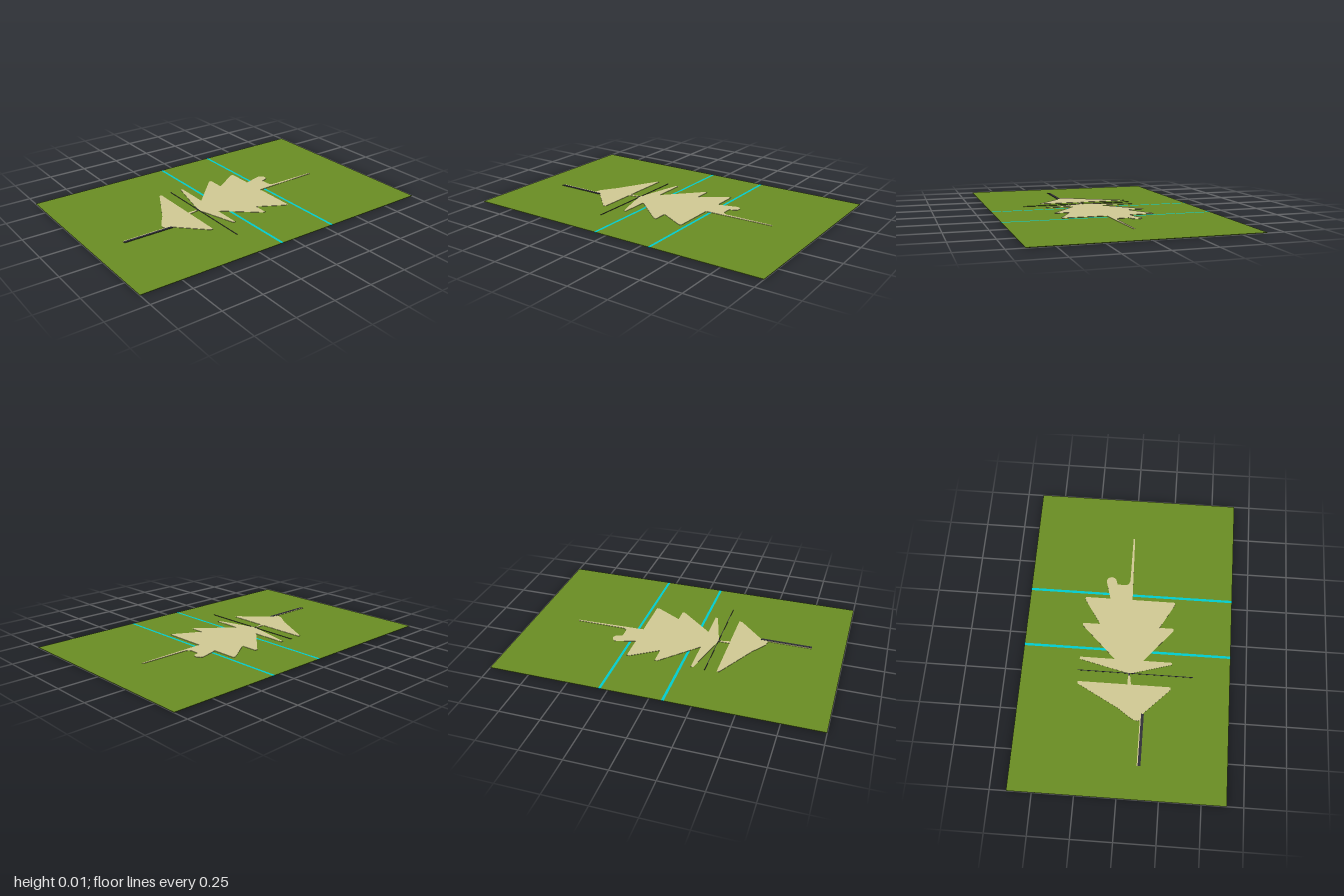
import * as THREE from 'three';

const mat = (name, color) => new THREE.MeshStandardMaterial({ name, color });

export function createModel() {
  const group = new THREE.Group();
  const green = mat('grass green', 0x6b8e23);
  const cyan = mat('bright cyan', 0x00ced1);
  const tan = mat('pale tan', 0xd2cb95);
  const dark = mat('dark grey', 0x303038);

  // Thin slab spanning x0..x1, y0..y1, z0..z1
  function slab(name, material, x0, x1, y0, y1, z0, z1) {
    const mesh = new THREE.Mesh(new THREE.BoxGeometry(x1 - x0, y1 - y0, z1 - z0), material);
    mesh.position.set((x0 + x1) / 2, (y0 + y1) / 2, (z0 + z1) / 2);
    mesh.name = name;
    group.add(mesh);
  }

  // Ground panels with two bands set into the gaps between them
  const bands = [-0.3, 0.08], half = 0.008;
  let start = -1;
  for (const z of [...bands, null]) {
    const end = z === null ? 1 : z - half;
    slab('groundPanel', green, -0.65, 0.65, 0, 0.003, start, end);
    if (z !== null) {
      slab('crossBand', cyan, -0.65, 0.65, 0, 0.003, z - half, z + half);
      start = z + half;
    }
  }

  // Flat tiered silhouette, drawn as x and z, clockwise from the spire tip
  const right = [
    [-0.013, -0.71], [-0.003, -0.71], [0.006, -0.4], [0.01, -0.268],
    [0.285, -0.268], [0.285, -0.25], [0.195, -0.088], [0.285, -0.088], [0.285, -0.072],
    [0.105, 0.14], [0.285, 0.14], [0.285, 0.155], [0.028, 0.23], [0.04, 0.3],
    [0.285, 0.3], [0.285, 0.318], [0.122, 0.482],
  ];
  const left = [
    [0.11, 0.52], [0.095, 0.527], [0.07, 0.522], [0.045, 0.508], [-0.03, 0.455],
    [-0.293, 0.315], [-0.293, 0.3], [0.018, 0.3], [0.016, 0.228],
    [-0.293, 0.155], [-0.293, 0.14], [-0.075, 0.14], [-0.293, -0.07], [-0.293, -0.088],
    [-0.185, -0.088], [-0.293, -0.25], [-0.293, -0.268], [-0.133, -0.268], [-0.165, -0.38],
  ];
  // Rounded knob on the shoulder
  const knob = [];
  for (let i = 0; i <= 10; i++) {
    const a = Math.PI * (1 + i / 10);
    knob.push([-0.134 + 0.033 * Math.cos(a), -0.387 + 0.033 * Math.sin(a)]);
  }
  const neck = [[-0.094, -0.37], [-0.035, -0.37], [-0.02, -0.38], [-0.013, -0.4]];
  const outline = [...right, ...left, ...knob, ...neck].map(([x, z]) => new THREE.Vector2(x, -z));
  const geometry = new THREE.ExtrudeGeometry(new THREE.Shape(outline), { depth: 0.002, bevelEnabled: false });
  geometry.rotateX(-Math.PI / 2);
  const silhouette = new THREE.Mesh(geometry, tan);
  silhouette.name = 'tieredSilhouette';
  silhouette.position.y = 0.003;
  group.add(silhouette);

  // Dark post with a pale edge, fine cross line and small joint
  slab('post', dark, 0.114, 0.131, 0.003, 0.0058, 0.48, 0.8);
  slab('postEdge', tan, 0.108, 0.114, 0.003, 0.005, 0.5, 0.8);
  slab('crossLine', dark, -0.3, 0.42, 0.003, 0.0055, 0.225, 0.229);
  slab('joint', dark, 0.018, 0.028, 0.003, 0.0058, 0.23, 0.242);

  return group;
}
